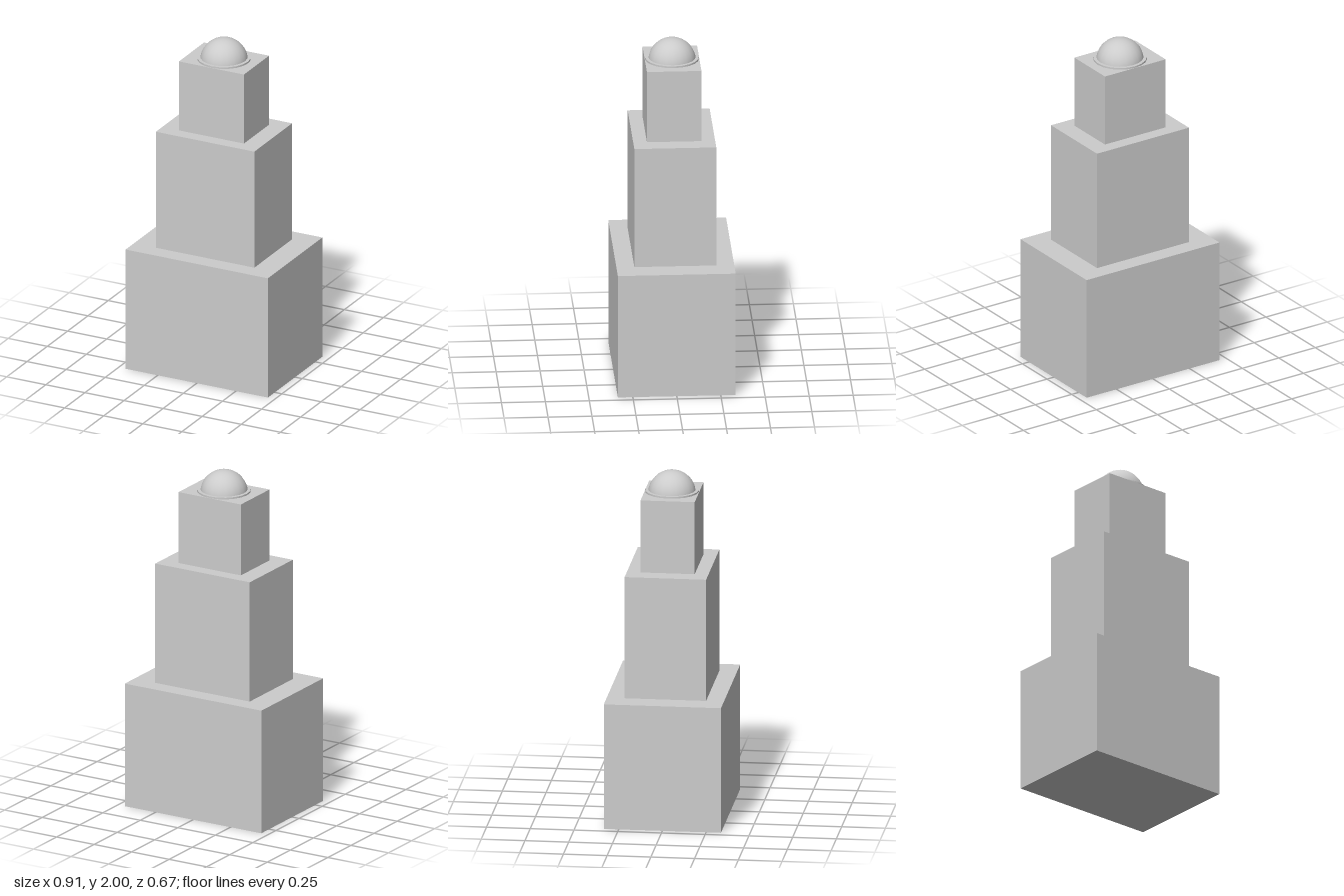
import * as THREE from 'three';

export function createModel() {
  const group = new THREE.Group();
  const material = new THREE.MeshStandardMaterial({ color: 0xcccccc });

  const add = (name, geometry, y) => {
    const mesh = new THREE.Mesh(geometry, material);
    mesh.name = name;
    mesh.position.y = y;
    group.add(mesh);
  };

  // Three stacked tiers: name, width, depth, bottom, top
  const tiers = [
    ['lowerTier', 0.91, 0.67, 0, 0.735],
    ['middleTier', 0.63, 0.466, 0.735, 1.45],
    ['upperTier', 0.416, 0.31, 1.45, 1.875],
  ];
  for (const [name, width, depth, bottom, top] of tiers) {
    add(name, new THREE.BoxGeometry(width, top - bottom, depth), (bottom + top) / 2);
  }

  // Thin round plate under the dome
  add('domePlate', new THREE.CylinderGeometry(0.153, 0.153, 0.012, 20), 1.879);

  // Dome, its lower edge sunk into the plate
  add('dome', new THREE.SphereGeometry(0.136, 20, 12, 0, Math.PI * 2, 0, Math.PI / 2), 1.864);

  return group;
}
